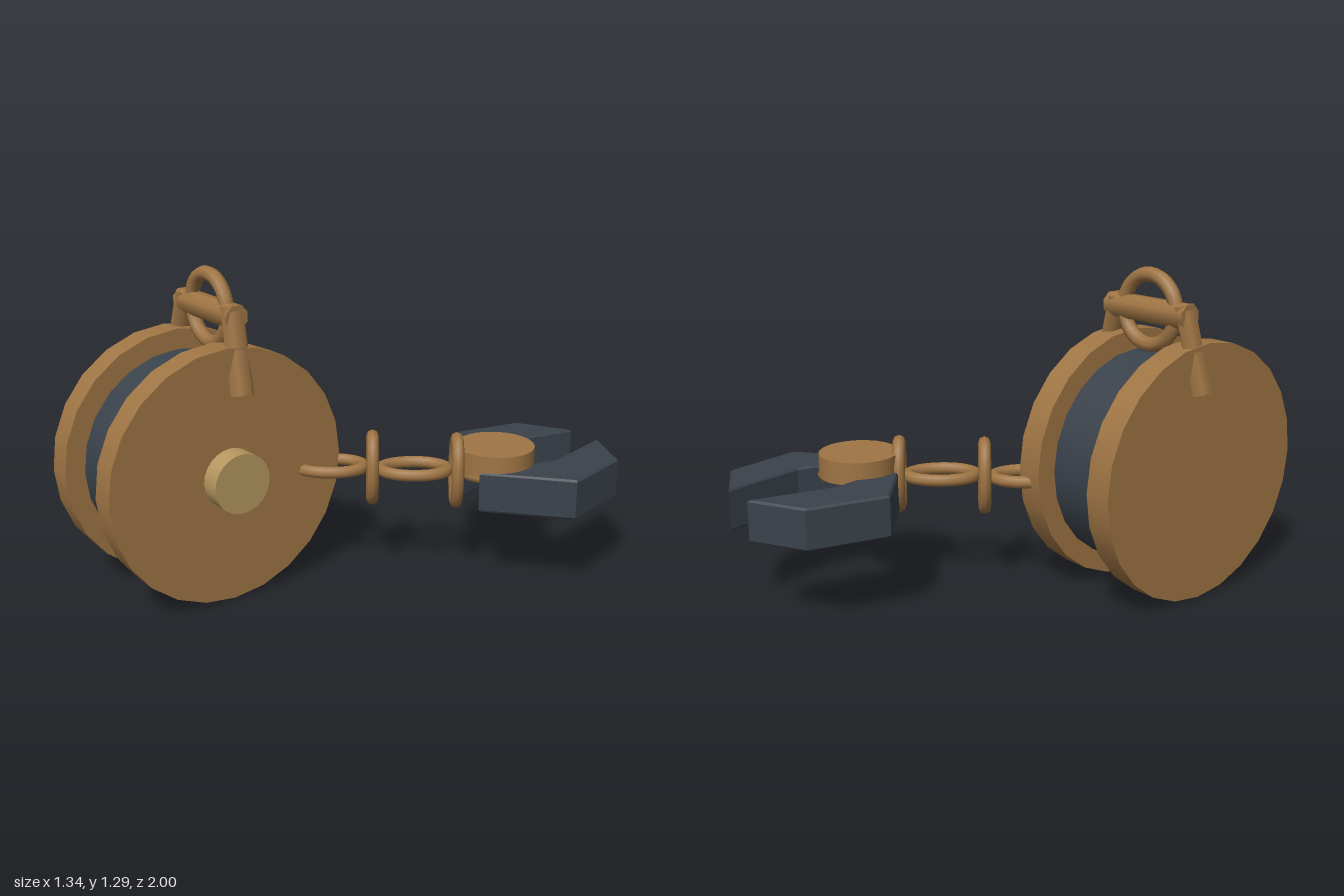
import * as THREE from 'three';

const mat = (name, color) => {
  const m = new THREE.MeshStandardMaterial({ color });
  m.name = name;
  return m;
};

export function createModel() {
  const model = new THREE.Group();
  model.name = 'spoolWithClaw';
  const bronze = mat('bronze', 0x9f7544);
  const brass = mat('pale brass', 0xb5975f);
  const steel = mat('dark steel', 0x3a424b);

  const add = (name, geometry, material) => {
    const mesh = new THREE.Mesh(geometry, material);
    mesh.name = name;
    model.add(mesh);
    return mesh;
  };

  // Spool: two flanges, a drum and a hub cap along the x axis
  const disc = (name, radius, x0, x1, material) => {
    const g = new THREE.CylinderGeometry(radius, radius, x1 - x0, 24);
    g.rotateZ(-Math.PI / 2);
    add(name, g, material).position.set((x0 + x1) / 2, 0.515, 0.49);
  };
  disc('rightFlange', 0.512, -0.625, -0.515, bronze);
  disc('leftFlange', 0.512, -0.245, -0.135, bronze);
  disc('drum', 0.43, -0.52, -0.24, steel);
  disc('hubCap', 0.12, -0.14, -0.05, brass);

  // Hanger: cross bar, two splayed arms and a ring
  const midX = -0.378;
  const bar = new THREE.CylinderGeometry(0.05, 0.05, 0.41, 8);
  bar.rotateY(Math.PI / 8);
  bar.rotateZ(Math.PI / 2);
  add('hangerBar', bar, bronze).position.set(midX, 1.126, 0.418);

  for (const side of [1, -1]) {
    const top = new THREE.Vector3(midX + side * 0.172, 1.165, 0.42);
    const bottom = new THREE.Vector3(midX + side * 0.263, 0.84, 0.44);
    const dir = top.clone().sub(bottom);
    const g = new THREE.CylinderGeometry(0.05, 0.05, dir.length(), 6);
    g.scale(0.65, 1, 1);
    const arm = add(side > 0 ? 'leftHangerArm' : 'rightHangerArm', g, bronze);
    arm.position.copy(top).add(bottom).multiplyScalar(0.5);
    arm.quaternion.setFromUnitVectors(new THREE.Vector3(0, 1, 0), dir.normalize());
  }
  add('hangerRing', new THREE.TorusGeometry(0.135, 0.029, 8, 32), bronze).position.set(midX, 1.127, 0.418);

  // Chain: oval links, alternately lying flat and standing upright
  const along = new THREE.Vector3(0.6, 0, -0.8);
  const across = new THREE.Vector3(0.8, 0, 0.6);
  const up = new THREE.Vector3(0, 1, 0);
  for (let i = 0; i < 5; i++) {
    const longAxis = i % 2 ? up : along;
    const points = [];
    for (let k = 0; k < 24; k++) {
      const a = (k / 24) * Math.PI * 2;
      points.push(new THREE.Vector3()
        .addScaledVector(longAxis, 0.133 * Math.cos(a))
        .addScaledVector(across, 0.08 * Math.sin(a)));
    }
    const path = new THREE.CatmullRomCurve3(points, true);
    add('chainLink' + (i + 1), new THREE.TubeGeometry(path, 32, 0.025, 8, true), bronze)
      .position.set(-0.111 + i * 0.1145, 0.469, 0.037 - i * 0.1245);
  }

  // Claw: pivot disc over two mirrored bent jaws
  const clawX = 0.307;
  add('clawPivot', new THREE.CylinderGeometry(0.157, 0.157, 0.09, 24), bronze)
    .position.set(clawX, 0.525, -0.476);

  const profile = [[0.074, 1], [0.291, 0.884], [0.36, 0.571], [0.072, 0.328], [0.143, 0.672]];
  for (const side of [1, -1]) {
    const shape = new THREE.Shape(profile.map(([x, y]) => new THREE.Vector2(side * x, y)));
    const g = new THREE.ExtrudeGeometry(shape, {
      depth: 0.149, bevelEnabled: true, bevelThickness: 0.008,
      bevelSize: 0.008, bevelOffset: -0.008, bevelSegments: 1,
    });
    g.rotateX(-Math.PI / 2);
    add(side > 0 ? 'leftJaw' : 'rightJaw', g, steel).position.set(clawX, 0.347, 0);
  }
  return model;
}
